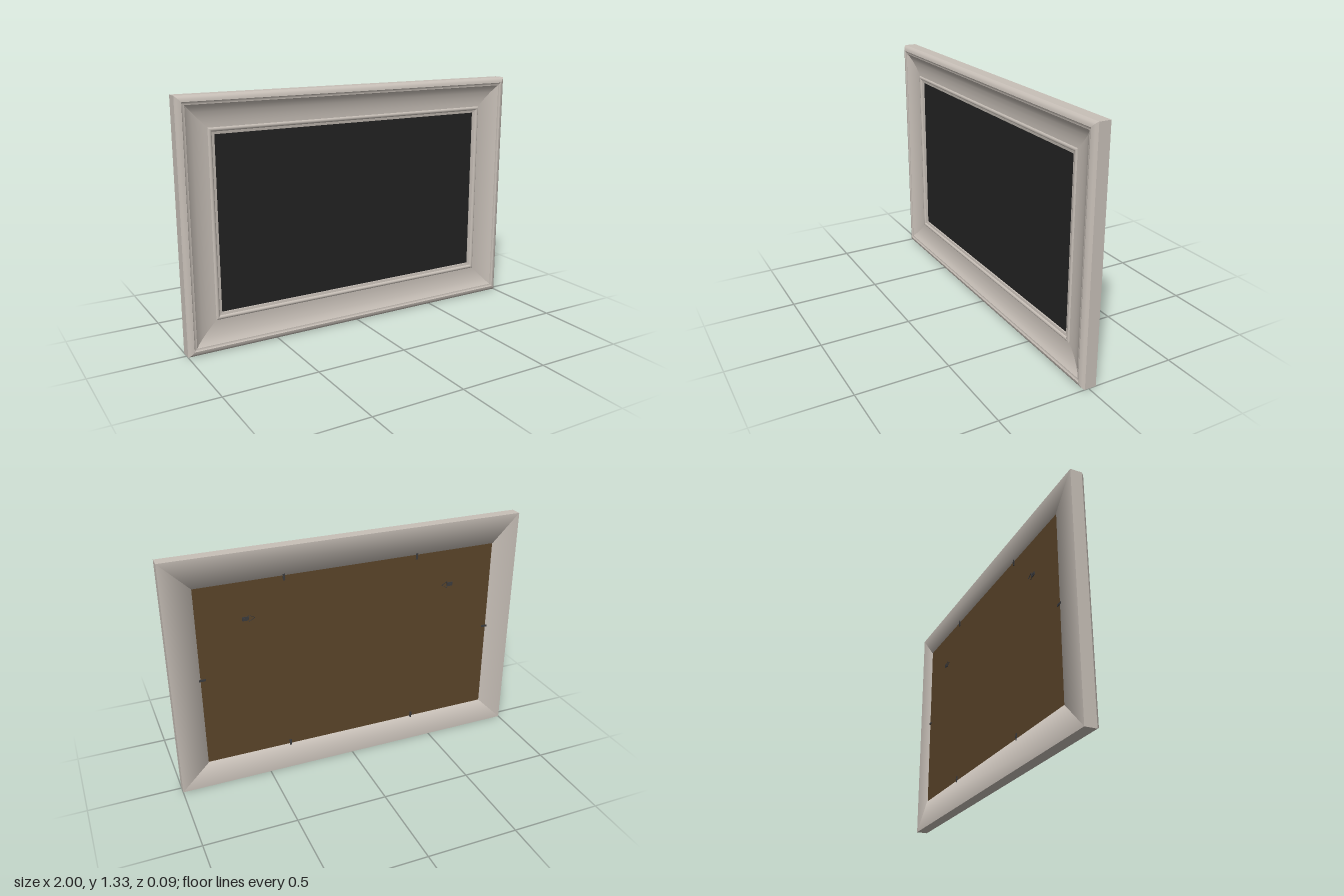
import * as THREE from 'three';

const W = 1, H = 0.665; // half width and half height of the frame

// Moulding section, outer back edge to opening to back: [inset from outer edge, z].
// Each run is smooth; edges between runs stay sharp.
const RUNS = {
  outerSide: [[0, -0.042], [0, 0.022]],
  outerBevel: [[0, 0.022], [0.008, 0.034], [0.018, 0.04], [0.03, 0.042]],
  groove: [[0.03, 0.042], [0.034, 0.037], [0.045, 0.037]],
  cove: [[0.045, 0.037], [0.06, 0.026], [0.085, 0.016], [0.115, 0.009], [0.145, 0.006], [0.165, 0.006]],
  bead: [[0.165, 0.006], [0.17, 0.011], [0.177, 0.012], [0.183, 0.009], [0.186, 0.004]],
  innerLip: [[0.186, 0.004], [0.2, 0.002]],
  lipEdge: [[0.2, 0.002], [0.2, -0.008]],
  backFace: [[0.155, -0.03], [0.155, -0.04], [0, -0.042]],
};

// Sweep one run around the rectangle with mitred corners
function mitredRun(run) {
  const pos = [], nor = [], idx = [];
  const segNormals = run.slice(1).map(([d, z], i) =>
    new THREE.Vector2(run[i][1] - z, d - run[i][0]).normalize());
  const corners = [[-1, 1], [1, 1], [1, -1], [-1, -1]];
  corners.forEach((a, s) => {
    const b = corners[(s + 1) % 4];
    const ox = (a[0] + b[0]) / 2, oy = (a[1] + b[1]) / 2; // outward direction
    run.forEach(([d, z], i) => {
      const n = new THREE.Vector2();
      if (i > 0) n.add(segNormals[i - 1]);
      if (i < segNormals.length) n.add(segNormals[i]);
      n.normalize();
      const k = pos.length / 3;
      for (const c of [a, b]) {
        pos.push(c[0] * (W - d), c[1] * (H - d), z);
        nor.push(-ox * n.x, -oy * n.x, n.y);
      }
      if (i < run.length - 1) idx.push(k, k + 2, k + 3, k, k + 3, k + 1);
    });
  });
  const g = new THREE.BufferGeometry();
  g.setAttribute('position', new THREE.Float32BufferAttribute(pos, 3));
  g.setAttribute('normal', new THREE.Float32BufferAttribute(nor, 3));
  g.setIndex(idx);
  return g;
}

export function createModel() {
  const mat = (name, color) => {
    const m = new THREE.MeshStandardMaterial({ color });
    m.name = name;
    return m;
  };
  const silver = mat('warm silver', 0xc8c0b8);
  const black = mat('black glass', 0x222222);
  const brown = mat('brown backing', 0x5c452a);
  const steel = mat('dark steel', 0x3c3c3e);

  const model = new THREE.Group();
  model.name = 'pictureFrame';
  const add = (parent, name, geometry, material, x = 0, y = 0, z = 0) => {
    const mesh = new THREE.Mesh(geometry, material);
    mesh.name = name;
    mesh.position.set(x, y, z);
    parent.add(mesh);
    return mesh;
  };

  // Moulding
  const moulding = new THREE.Group();
  moulding.name = 'moulding';
  moulding.position.y = H;
  for (const [name, run] of Object.entries(RUNS)) add(moulding, name, mitredRun(run), silver);
  model.add(moulding);

  // Picture panel and backing board
  add(model, 'picturePanel', new THREE.BoxGeometry(1.62, 0.95, 0.006), black, 0, H, -0.009);
  add(model, 'backingBoard', new THREE.BoxGeometry(1.688, 1.018, 0.02), brown, 0, H, -0.026);

  // Turn buttons that hold the board, each pointing inward from the rabbet
  const tabs = [[0.375, 0.5, 0], [-0.375, 0.5, 0], [0.375, -0.5, 0], [-0.375, -0.5, 0],
    [0.835, 0, Math.PI / 2], [-0.835, 0, Math.PI / 2]];
  for (const [x, y, turn] of tabs) {
    const tab = new THREE.Group();
    tab.name = 'turnButton';
    add(tab, 'buttonPlate', new THREE.BoxGeometry(0.012, 0.036, 0.003), steel);
    add(tab, 'buttonScrew', new THREE.CylinderGeometry(0.006, 0.006, 0.004, 12), steel, 0, 0, -0.002)
      .rotation.x = Math.PI / 2;
    tab.position.set(x, H + y, -0.039);
    tab.rotation.z = turn;
    model.add(tab);
  }

  // Hangers: a small plate with a triangular ring toward the centre
  for (const side of [1, -1]) {
    const hanger = new THREE.Group();
    hanger.name = side > 0 ? 'leftHanger' : 'rightHanger';
    add(hanger, 'hangerPlate', new THREE.BoxGeometry(0.032, 0.022, 0.003), steel, side * 0.02);
    add(hanger, 'hangerScrew', new THREE.CylinderGeometry(0.006, 0.006, 0.004, 12), steel, side * 0.024, 0, -0.002)
      .rotation.x = Math.PI / 2;
    add(hanger, 'hangerRing', new THREE.TorusGeometry(0.021, 0.0022, 6, 3), steel, -side * 0.009, 0, -0.001)
      .rotation.z = side > 0 ? Math.PI : 0;
    hanger.position.set(side * 0.568, 0.97, -0.038);
    model.add(hanger);
  }
  return model;
}
